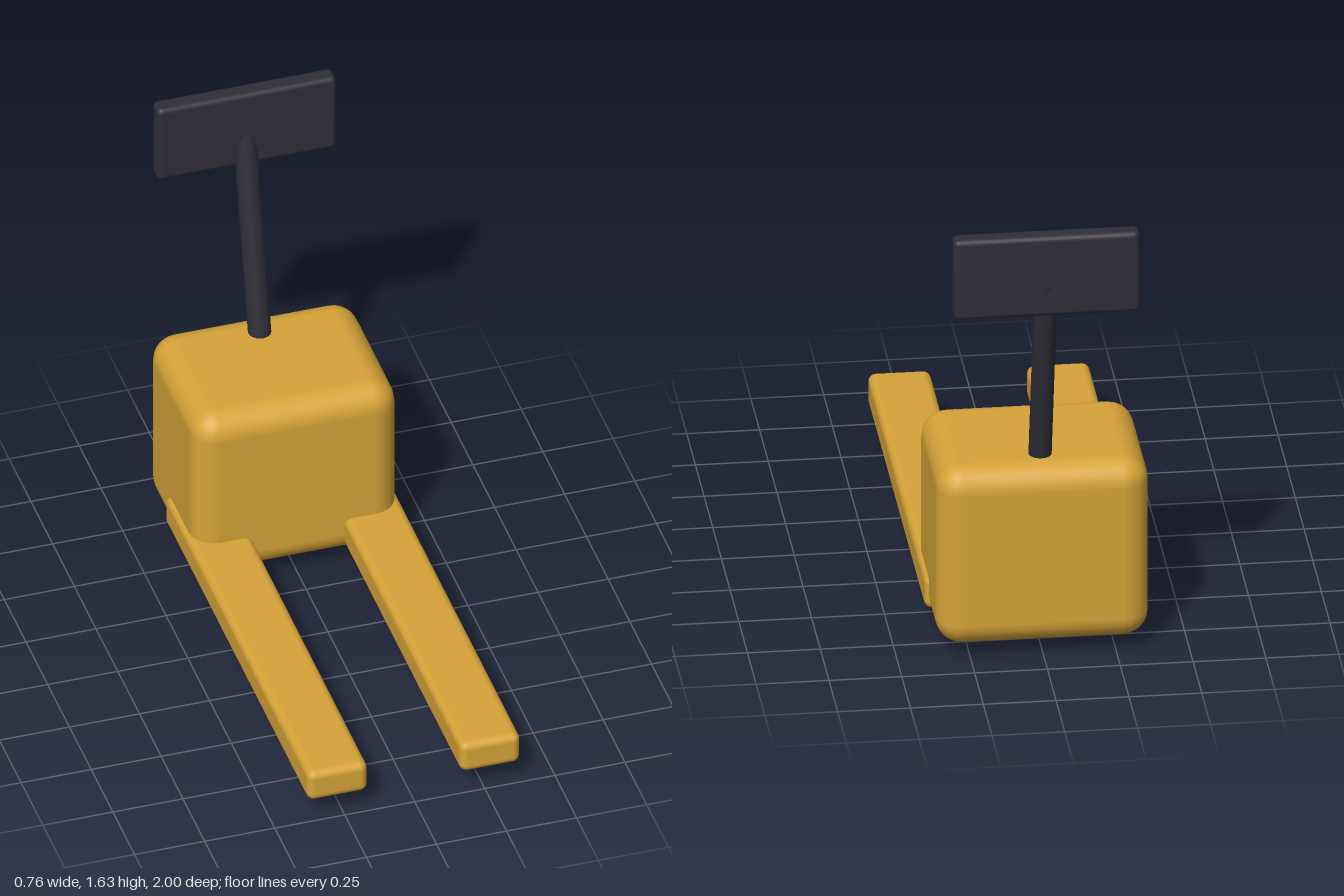
import * as THREE from 'three';
import { RoundedBoxGeometry } from 'three/addons/geometries/RoundedBoxGeometry.js';

const yellow = new THREE.MeshStandardMaterial({ color: 0xd6a338 });
yellow.name = 'yellow paint';
const dark = new THREE.MeshStandardMaterial({ color: 0x2f2e38 });
dark.name = 'dark rubber';

// Rounded box given by its lower and upper corners
function roundedBox(name, min, max, radius, material) {
  const size = max.map((v, i) => v - min[i]);
  const mesh = new THREE.Mesh(new RoundedBoxGeometry(...size, 3, radius), material);
  mesh.position.set(...max.map((v, i) => (v + min[i]) / 2));
  mesh.name = name;
  return mesh;
}

export function createModel() {
  const model = new THREE.Group();
  model.name = 'palletTruck';

  // Drive unit housing
  model.add(roundedBox('body', [-0.365, 0.045, -0.915], [0.365, 0.715, -0.335], 0.09, yellow));

  // Forks with a load wheel near each tip
  for (const side of [1, -1]) {
    const label = side > 0 ? 'left' : 'right';
    const fork = roundedBox(label + 'Fork', [0.165, 0.08, -0.655], [0.38, 0.2, 1], 0.028, yellow);
    fork.position.x *= side;
    const wheel = new THREE.Mesh(new THREE.CylinderGeometry(0.08, 0.08, 0.13, 20), dark);
    wheel.name = label + 'Wheel';
    wheel.rotation.z = Math.PI / 2;
    wheel.position.set(side * 0.272, 0.08, 0.76);
    model.add(fork, wheel);
  }

  // Tiller shaft leaning backwards out of the housing
  const start = new THREE.Vector3(0, 0.62, -0.764);
  const end = new THREE.Vector3(0, 1.447, -0.961);
  const axis = end.clone().sub(start);
  const shaft = new THREE.Mesh(new THREE.CylinderGeometry(0.04, 0.04, axis.length(), 20), dark);
  shaft.name = 'tillerShaft';
  shaft.position.copy(start).add(end).multiplyScalar(0.5);
  shaft.quaternion.setFromUnitVectors(new THREE.Vector3(0, 1, 0), axis.normalize());
  model.add(shaft);

  // Control panel at the top of the shaft
  model.add(roundedBox('controlPanel', [-0.32, 1.327, -0.995], [0.32, 1.628, -0.925], 0.02, dark));

  return model;
}
